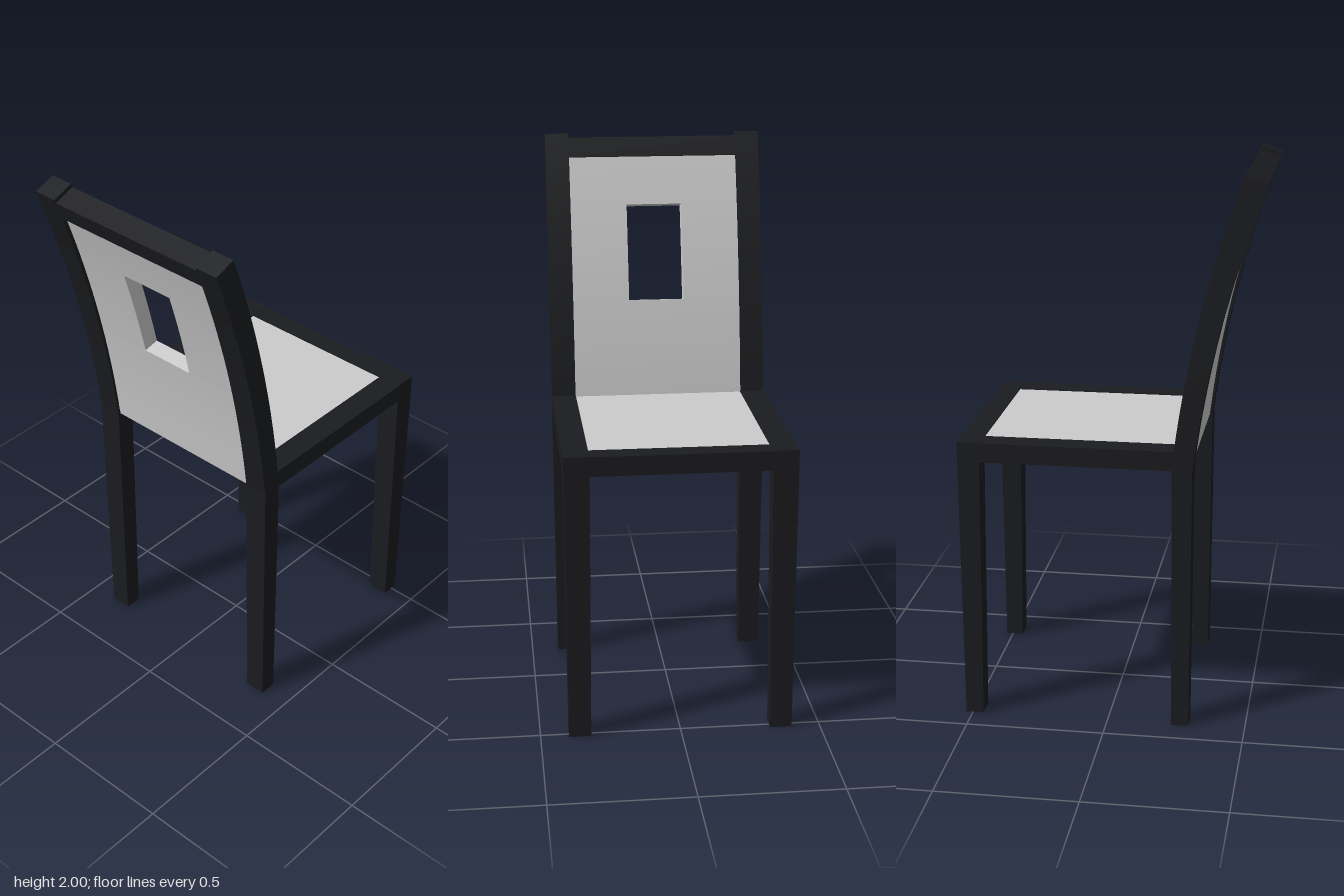
import * as THREE from 'three';

const dark = new THREE.MeshStandardMaterial({ color: 0x1b1c20 });
const grey = new THREE.MeshStandardMaterial({ color: 0xcccccc });

// The backrest follows an arc starting at (X0, Y0), leaning A0 and bending by K per unit length.
const X0 = -0.265, Y0 = 0.98, A0 = 0.113, K = 0.231;
const ARC_LENGTH = 1.036;

function arcPoint(s, d) {
  const a = A0 + K * s;
  return [
    X0 - (Math.cos(A0) - Math.cos(a)) / K + d * Math.cos(a),
    Y0 + (Math.sin(a) - Math.sin(A0)) / K + d * Math.sin(a),
  ];
}

function named(geometry, material, name) {
  const mesh = new THREE.Mesh(geometry, material);
  mesh.name = name;
  return mesh;
}

// Straight block between two corners
function block(name, material, [x0, y0, z0], [x1, y1, z1]) {
  const g = new THREE.BoxGeometry(x1 - x0, y1 - y0, z1 - z0);
  g.translate((x0 + x1) / 2, (y0 + y1) / 2, (z0 + z1) / 2);
  return named(g, material, name);
}

// Block bent along the arc: s runs along it, d across its thickness (start and end half-depths scale)
function bent(name, material, s0, s1, z0, z1, d0, d1, grow = 1) {
  const segments = Math.max(1, Math.round((s1 - s0) * 16));
  const g = new THREE.BoxGeometry(1, 1, 1, 1, segments, 1);
  const p = g.attributes.position;
  for (let i = 0; i < p.count; i++) {
    const t = p.getY(i) + 0.5;
    const d = (p.getX(i) > 0 ? d1 : d0) * (1 + (grow - 1) * t);
    const [x, y] = arcPoint(s0 + (s1 - s0) * t, d);
    p.setXYZ(i, x, y, p.getZ(i) > 0 ? z1 : z0);
  }
  g.computeVertexNormals();
  return named(g, material, name);
}

// Leg narrowing slightly towards the floor
function leg(name, x, z, height, topX, bottomX) {
  const g = new THREE.BoxGeometry(1, height, 1);
  const p = g.attributes.position;
  for (let i = 0; i < p.count; i++) {
    const top = p.getY(i) > 0;
    p.setX(i, p.getX(i) * (top ? topX : bottomX));
    p.setZ(i, p.getZ(i) * (top ? 0.09 : 0.078));
  }
  g.computeVertexNormals();
  g.translate(x, height / 2, z);
  return named(g, dark, name);
}

export function createModel() {
  const chair = new THREE.Group();
  chair.name = 'chair';

  // Legs, back posts and side rails on both sides
  for (const side of [-1, 1]) {
    const z = side * 0.36;
    chair.add(
      leg('frontLeg', 0.492, z, 1.042, 0.08, 0.064),
      leg('backLeg', -0.265, z, 0.984, 0.072, 0.062),
      bent('backPost', dark, 0, ARC_LENGTH, z - 0.044, z + 0.044, -0.036, 0.036, 1.16),
      block('sideRail', dark, [-0.25, 0.97, z - 0.045], [0.455, 1.04, z + 0.045]),
    );
  }

  // Seat and front rail
  chair.add(
    block('frontRail', dark, [0.451, 0.97, -0.32], [0.53, 1.04, 0.32]),
    block('seat', grey, [-0.27, 0.966, -0.315], [0.452, 1.036, 0.315]),
  );

  // Backrest: top rail and a bent panel around a rectangular opening
  const back = new THREE.Group();
  back.name = 'backrest';
  const w = 0.317, hole = 0.104, s0 = 0.41, s1 = 0.768, d0 = -0.027, d1 = 0.031;
  back.add(
    bent('topRail', dark, 0.948, 1.021, -0.32, 0.32, -0.041, 0.041),
    bent('panelLower', grey, -0.01, s0, -w, w, d0, d1),
    bent('panelUpper', grey, s1, 0.95, -w, w, d0, d1),
    bent('panelRight', grey, s0, s1, hole, w, d0, d1),
    bent('panelLeft', grey, s0, s1, -w, -hole, d0, d1),
  );
  chair.add(back);
  return chair;
}
